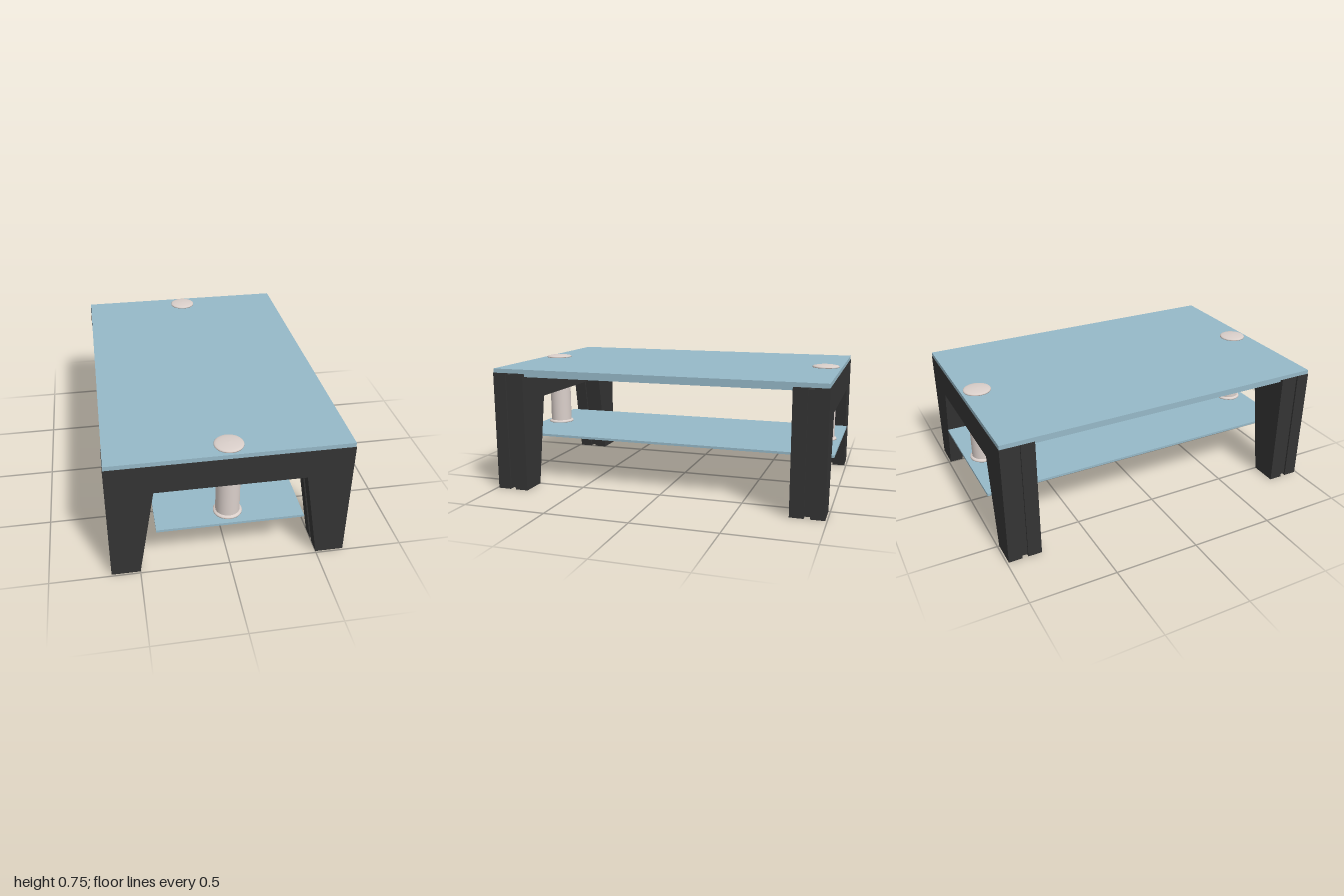
import * as THREE from 'three';

const glass = new THREE.MeshStandardMaterial({ color: 0x96b9c8 });
const dark = new THREE.MeshStandardMaterial({ color: 0x343434 });
const metal = new THREE.MeshStandardMaterial({ color: 0xdacfca });

const FRAME_Z = 0.892;

function add(parent, name, geometry, material, x = 0, y = 0, z = 0) {
  const mesh = new THREE.Mesh(geometry, material);
  mesh.name = name;
  mesh.position.set(x, y, z);
  parent.add(mesh);
}

// Flat glass plate given by its extents
function plate(parent, name, width, bottom, top, depth) {
  add(parent, name, new THREE.BoxGeometry(width, top - bottom, depth), glass, 0, (bottom + top) / 2);
}

// One layer of an arch-shaped leg frame, shrunk by an inset on every edge
function archLayer(depth, inset) {
  const i = inset;
  const right = [[0.66 - i, 0.713 - i], [0.66 - i, i], [0.5 + i, i], [0.41 + i, 0.543 + i]];
  const left = right.map(([x, y]) => [-x, y]).reverse();
  const shape = new THREE.Shape([...right, ...left].map(([x, y]) => new THREE.Vector2(x, y)));
  const geometry = new THREE.ExtrudeGeometry(shape, { depth, bevelEnabled: false });
  return geometry.translate(0, 0, -depth / 2);
}

function lathe(points) {
  return new THREE.LatheGeometry(points.map(([r, y]) => new THREE.Vector2(r, y)), 40);
}

// Leg frame: two outer boards with a recessed board between them
function legFrame() {
  const group = new THREE.Group();
  add(group, 'outerBoard', archLayer(0.08, 0), dark, 0, 0, 0.057);
  add(group, 'middleBoard', archLayer(0.06, 0.01), dark);
  add(group, 'innerBoard', archLayer(0.08, 0), dark, 0, 0, -0.057);

  // Metal post holding the shelf, with a foot flange and a domed cap
  add(group, 'post', new THREE.CylinderGeometry(0.067, 0.067, 0.25, 40), metal, 0, 0.422);
  add(group, 'postFlange', lathe([
    [0, 0.297], [0.08, 0.297], [0.08, 0.302], [0.077, 0.307], [0.067, 0.311],
  ]), metal);
  add(group, 'postCap', lathe([
    [0, 0.738], [0.08, 0.738], [0.08, 0.743], [0.076, 0.747], [0.066, 0.749],
    [0.05, 0.752], [0.025, 0.754], [0, 0.755],
  ]), metal);
  return group;
}

export function createModel() {
  const table = new THREE.Group();
  table.name = 'coffeeTable';

  plate(table, 'tableTop', 1.314, 0.713, 0.738, 1.974);
  plate(table, 'underTopPanel', 1.28, 0.692, 0.711, 1.59);
  plate(table, 'shelf', 0.81, 0.283, 0.297, 2);

  for (const side of [1, -1]) {
    const frame = legFrame();
    frame.name = side > 0 ? 'frontLegFrame' : 'backLegFrame';
    frame.position.z = side * FRAME_Z;
    if (side < 0) frame.rotation.y = Math.PI;
    table.add(frame);
  }
  return table;
}
